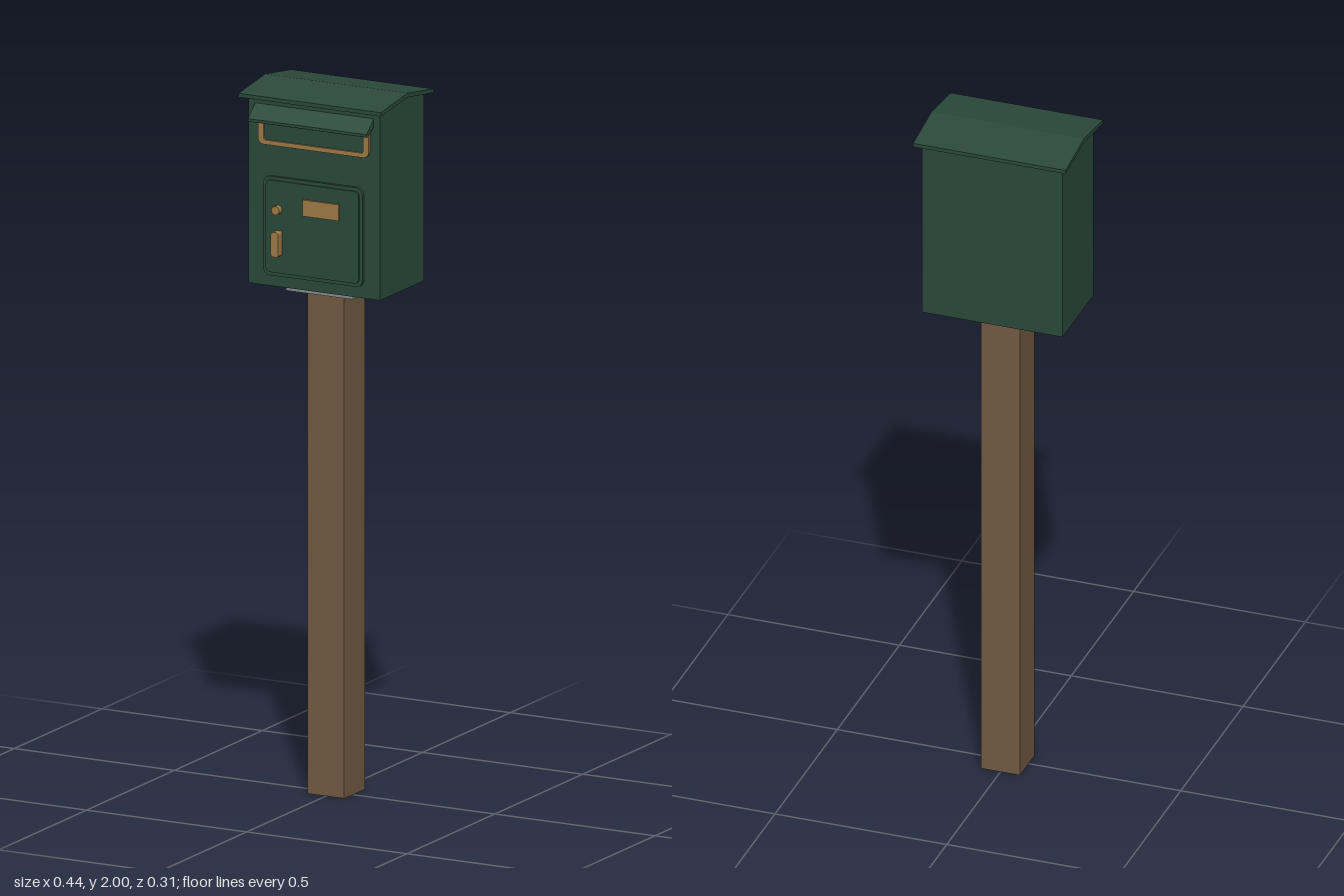
import * as THREE from 'three';

const mat = (name, color, extra) => new THREE.MeshStandardMaterial({ name, color });

export function createModel() {
  const green = mat('dark green paint', 0x2b4a3b);
  const wood = mat('brown wood', 0x745b43);
  const brass = mat('brass', 0xa17c48);
  const steel = mat('grey steel', 0x8b8f92);

  const model = new THREE.Group();
  model.name = 'postMountedMailbox';

  const add = (name, geometry, material, x = 0, y = 0, z = 0) => {
    const mesh = new THREE.Mesh(geometry, material);
    mesh.name = name;
    mesh.position.set(x, y, z);
    model.add(mesh);
    return mesh;
  };
  const box = (name, material, w, h, d, x, y, z) =>
    add(name, new THREE.BoxGeometry(w, h, d), material, x, y, z);

  // Side profile given as [z, y] pairs, extruded across the width
  const prism = (name, material, profile, width) => {
    const shape = new THREE.Shape(profile.map(([z, y]) => new THREE.Vector2(-z, y)));
    const g = new THREE.ExtrudeGeometry(shape, { depth: width, bevelEnabled: false });
    g.translate(0, 0, -width / 2).rotateY(Math.PI / 2);
    return add(name, g, material);
  };

  // Rectangle outline with rounded corners, centred on the origin
  const rounded = (path, w, h, r) => {
    const x = w / 2, y = h / 2;
    path.moveTo(-x + r, -y);
    path.lineTo(x - r, -y);
    path.absarc(x - r, -y + r, r, -Math.PI / 2, 0);
    path.lineTo(x, y - r);
    path.absarc(x - r, y - r, r, 0, Math.PI / 2);
    path.lineTo(-x + r, y);
    path.absarc(-x + r, y - r, r, Math.PI / 2, Math.PI);
    path.lineTo(-x, -y + r);
    path.absarc(-x + r, -y + r, r, Math.PI, Math.PI * 1.5);
    return path;
  };
  const slab = (w, h, r, depth, hole) => {
    const shape = rounded(new THREE.Shape(), w, h, r);
    if (hole) shape.holes.push(rounded(new THREE.Path(), ...hole));
    return new THREE.ExtrudeGeometry(shape, { depth, bevelEnabled: false, curveSegments: 5 });
  };

  const mid = -0.01;   // centre of post and ridge
  const front = 0.115; // front face of the box

  // Post and mounting plate
  box('post', wood, 0.114, 1.425, 0.118, 0, 0.7125, mid);
  box('mountingPlate', steel, 0.208, 0.016, 0.192, 0, 1.432, mid);

  // Box with gabled top
  prism('body', green, [
    [-0.135, 1.44], [front, 1.44], [front, 1.972], [mid, 1.989], [-0.135, 1.972],
  ], 0.41);

  // Shallow gable roof
  prism('roof', green, [
    [0.142, 1.968], [0.142, 1.979], [mid, 2.0], [-0.158, 1.979], [-0.158, 1.968], [mid, 1.988],
  ], 0.444);

  // Sloping hood over the letter slot
  prism('slotHood', green, [
    [front, 1.951], [0.155, 1.915], [0.155, 1.907], [0.149, 1.905], [front, 1.927],
  ], 0.37);

  // Letter slot frame
  add('slotFrame', slab(0.346, 0.085, 0.018, 0.006, [0.31, 0.06, 0.006]), brass, 0, 1.881, front);

  // Door with a raised inner panel
  add('doorRim', slab(0.31, 0.28, 0.02, 0.009), green, 0, 1.612, front);
  add('doorPanel', slab(0.29, 0.26, 0.014, 0.013), green, 0, 1.612, front);

  // Door fittings
  const door = front + 0.013;
  box('namePlate', brass, 0.112, 0.046, 0.006, 0.029, 1.677, door + 0.003);
  const knob = new THREE.CylinderGeometry(0.013, 0.013, 0.017, 8);
  knob.rotateX(Math.PI / 2);
  add('lockKnob', knob, brass, -0.106, 1.662, door + 0.0085);
  add('handle', slab(0.023, 0.07, 0.007, 0.023), brass, -0.105, 1.567, door);

  return model;
}
